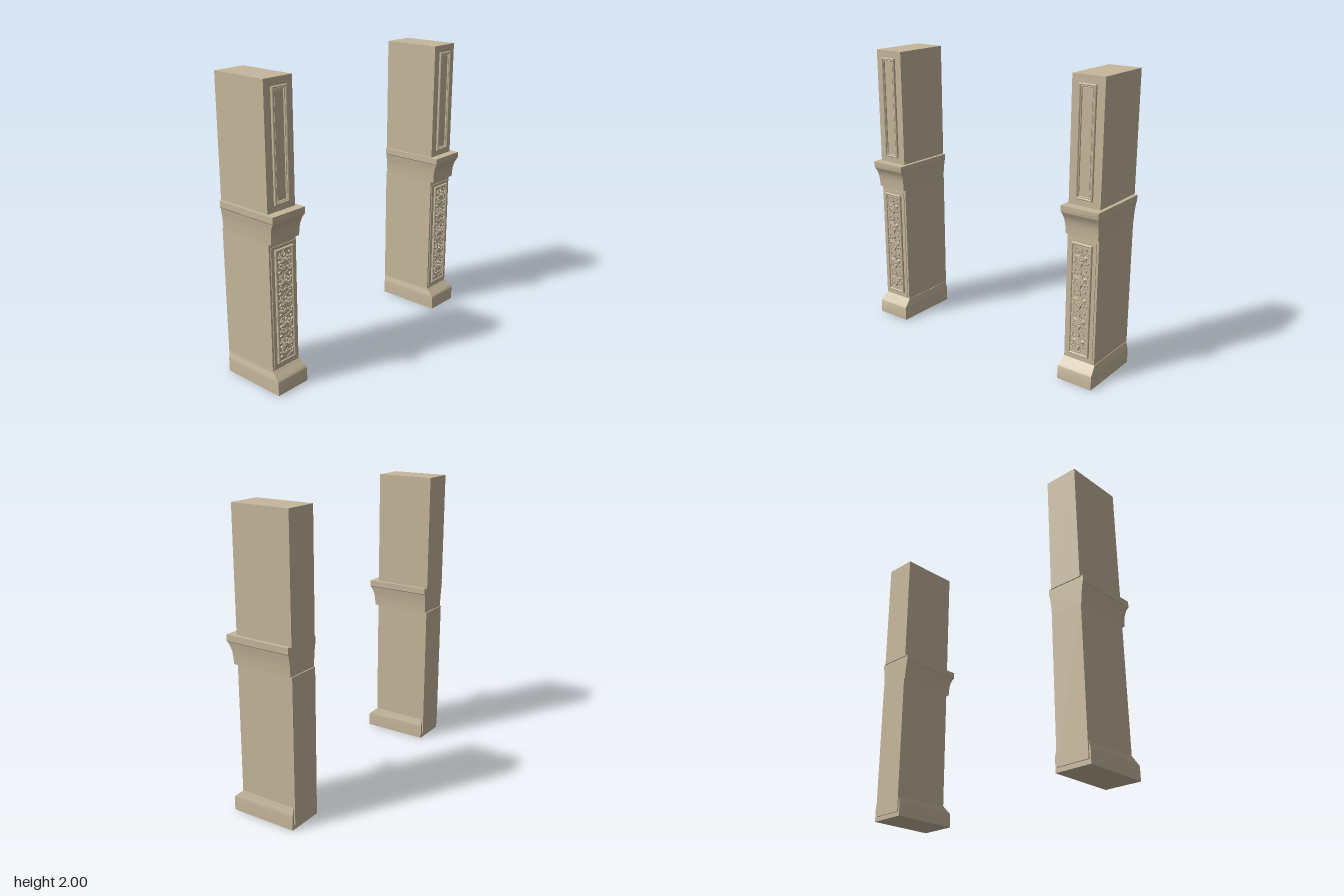
import * as THREE from 'three';
import { toCreasedNormals } from 'three/addons/utils/BufferGeometryUtils.js';

const stone = new THREE.MeshStandardMaterial({ color: 0xc6b79c });
const BACK = -0.23;

function add(parent, name, geometry, x = 0, y = 0, z = 0) {
  const mesh = new THREE.Mesh(geometry, stone);
  mesh.name = name;
  mesh.position.set(x, y, z);
  parent.add(mesh);
  return mesh;
}

// Box between two corners, sharing the pillar's local axes
function block(parent, name, hx, y0, y1, z0, z1, x = 0) {
  return add(parent, name, new THREE.BoxGeometry(2 * hx, y1 - y0, z1 - z0), x, (y0 + y1) / 2, (z0 + z1) / 2);
}

// Moulding stacked from rectangles [y, half width, front z] with a flat back
function moulding(rows) {
  const pos = [];
  const ring = ([y, hx, f]) => [[-hx, y, f], [hx, y, f], [hx, y, BACK], [-hx, y, BACK]];
  const quad = (a, b, c, d) => pos.push(...a, ...b, ...c, ...a, ...c, ...d);
  for (let i = 0; i < rows.length - 1; i++) {
    const lo = ring(rows[i]), hi = ring(rows[i + 1]);
    for (let k = 0; k < 4; k++) {
      const n = (k + 1) % 4;
      quad(lo[k], lo[n], hi[n], hi[k]);
    }
  }
  const b = ring(rows[0]), t = ring(rows[rows.length - 1]);
  quad(b[3], b[2], b[1], b[0]);
  quad(t[0], t[1], t[2], t[3]);
  const g = new THREE.BufferGeometry();
  g.setAttribute('position', new THREE.Float32BufferAttribute(pos, 3));
  return toCreasedNormals(g, 0.5);
}

function trace(path, hx, y0, y1) {
  path.moveTo(-hx, y0);
  path.lineTo(hx, y0);
  path.lineTo(hx, y1);
  path.lineTo(-hx, y1);
  path.closePath();
  return path;
}

// Bevelled rectangular frame of given border width
function frame(parent, name, hx, y0, y1, w, z0, z1) {
  const shape = trace(new THREE.Shape(), hx, y0, y1);
  shape.holes.push(trace(new THREE.Path(), hx - w, y0 + w, y1 - w));
  const b = Math.min(w * 0.3, 0.004);
  const g = new THREE.ExtrudeGeometry(shape, {
    depth: z1 - z0 - b, bevelThickness: b, bevelSize: b, bevelOffset: -b, bevelSegments: 1,
  });
  add(parent, name, g, 0, 0, z0);
}

// Pointed carved leaf growing along +y
const leafShape = new THREE.Shape();
leafShape.moveTo(0, 0);
leafShape.bezierCurveTo(0.42, 0.2, 0.3, 0.6, 0, 1);
leafShape.bezierCurveTo(-0.3, 0.6, -0.42, 0.2, 0, 0);
const leafGeometry = new THREE.ExtrudeGeometry(leafShape, {
  depth: 0.4, bevelThickness: 0.6, bevelSize: 0.12, bevelOffset: -0.12, bevelSegments: 1, curveSegments: 4,
});

function leaf(parent, x, y, angle, length) {
  const mesh = add(parent, 'leaf', leafGeometry, x, y, 0.192);
  mesh.rotation.z = angle;
  mesh.scale.set(length, length, 0.01);
}

// Spiral stem starting on the axis and curling outwards to one side
function scroll(parent, side, y, up) {
  const pts = [new THREE.Vector3(0, y - up * 0.045, 0.193)];
  for (let i = 0; i <= 16; i++) {
    const a = -Math.PI / 2 + (i / 16) * Math.PI * 2.6, r = 0.024 * (1 - 0.72 * i / 16);
    pts.push(new THREE.Vector3(side * (0.029 + Math.cos(a) * r), y + up * Math.sin(a) * r, 0.194));
  }
  add(parent, 'scroll', new THREE.TubeGeometry(new THREE.CatmullRomCurve3(pts), 36, 0.0035, 5));
  const bud = add(parent, 'rosette', new THREE.SphereGeometry(0.007, 8, 6), side * 0.029, y, 0.194);
  bud.scale.z = 1.2;
  for (let i = 0; i < 5; i++) {
    const a = -0.9 + i * 0.95;
    leaf(parent, side * (0.029 + Math.cos(a) * 0.014), y + up * Math.sin(a) * 0.02,
      Math.atan2(-side * Math.cos(a), up * Math.sin(a)) + side * 0.5, 0.02);
  }
}

function carving() {
  const group = new THREE.Group();
  group.name = 'foliageCarving';
  const pitch = 0.144;
  for (let i = 0; i < 5; i++) {
    const y = 0.215 + i * pitch;
    for (const side of [-1, 1]) {
      scroll(group, side, y + 0.04, 1);
      scroll(group, side, y + 0.108, -1);
      leaf(group, side * 0.006, y + 0.072, -side * 1.3, 0.046);
    }
    // Central palmette
    for (let k = -3; k <= 3; k++) leaf(group, 0, y + 0.06, k * 0.48, 0.05 - Math.abs(k) * 0.006);
    leaf(group, 0, y + 0.055, Math.PI, 0.045);
    leaf(group, 0, y + 0.105, 0, 0.034);
    add(group, 'boss', new THREE.SphereGeometry(0.009, 8, 6), 0, y + 0.058, 0.196);
  }
  return group;
}

function pillar() {
  const g = new THREE.Group();
  const body = new THREE.Group();
  body.name = 'pillarBody';
  body.position.x = -0.003;
  g.add(body);

  // Shafts
  block(body, 'lowerShaft', 0.114, 0.03, 1.01, -0.238, 0.18);
  block(body, 'upperShaft', 0.114, 1.19, 2, -0.238, 0.18);

  // Plinth with a sloping cove
  add(g, 'plinth', moulding([
    [0, 0.128, 0.24], [0.09, 0.128, 0.24], [0.1, 0.127, 0.235], [0.115, 0.123, 0.216],
    [0.13, 0.119, 0.2], [0.14, 0.117, 0.188], [0.148, 0.115, 0.181],
  ]));

  // Flared capital
  add(g, 'capital', moulding([
    [1.008, 0.117, 0.204], [1.05, 0.119, 0.206], [1.08, 0.121, 0.209], [1.105, 0.124, 0.215],
    [1.13, 0.128, 0.225], [1.15, 0.131, 0.238], [1.155, 0.135, 0.24], [1.197, 0.135, 0.24],
  ]));

  // Upper sunk panel
  frame(body, 'upperPanelFrame', 0.06, 1.24, 1.95, 0.012, 0.178, 0.196);
  frame(body, 'upperPanelMoulding', 0.047, 1.253, 1.937, 0.007, 0.178, 0.19);
  block(body, 'upperPanelField', 0.034, 1.266, 1.924, 0.178, 0.184);

  // Lower carved panel
  block(body, 'panelBacking', 0.1, 0.16, 0.98, 0.178, 0.185);
  frame(body, 'lowerPanelFrame', 0.075, 0.19, 0.96, 0.013, 0.18, 0.201);
  block(body, 'lowerPanelField', 0.064, 0.2, 0.95, 0.18, 0.192);
  body.add(carving());
  return g;
}

export function createModel() {
  const model = new THREE.Group();
  model.name = 'pillarPair';
  for (const [name, x] of [['rightPillar', -0.815], ['leftPillar', 0.815]]) {
    const p = pillar();
    p.name = name;
    p.position.x = x;
    model.add(p);
  }
  return model;
}
